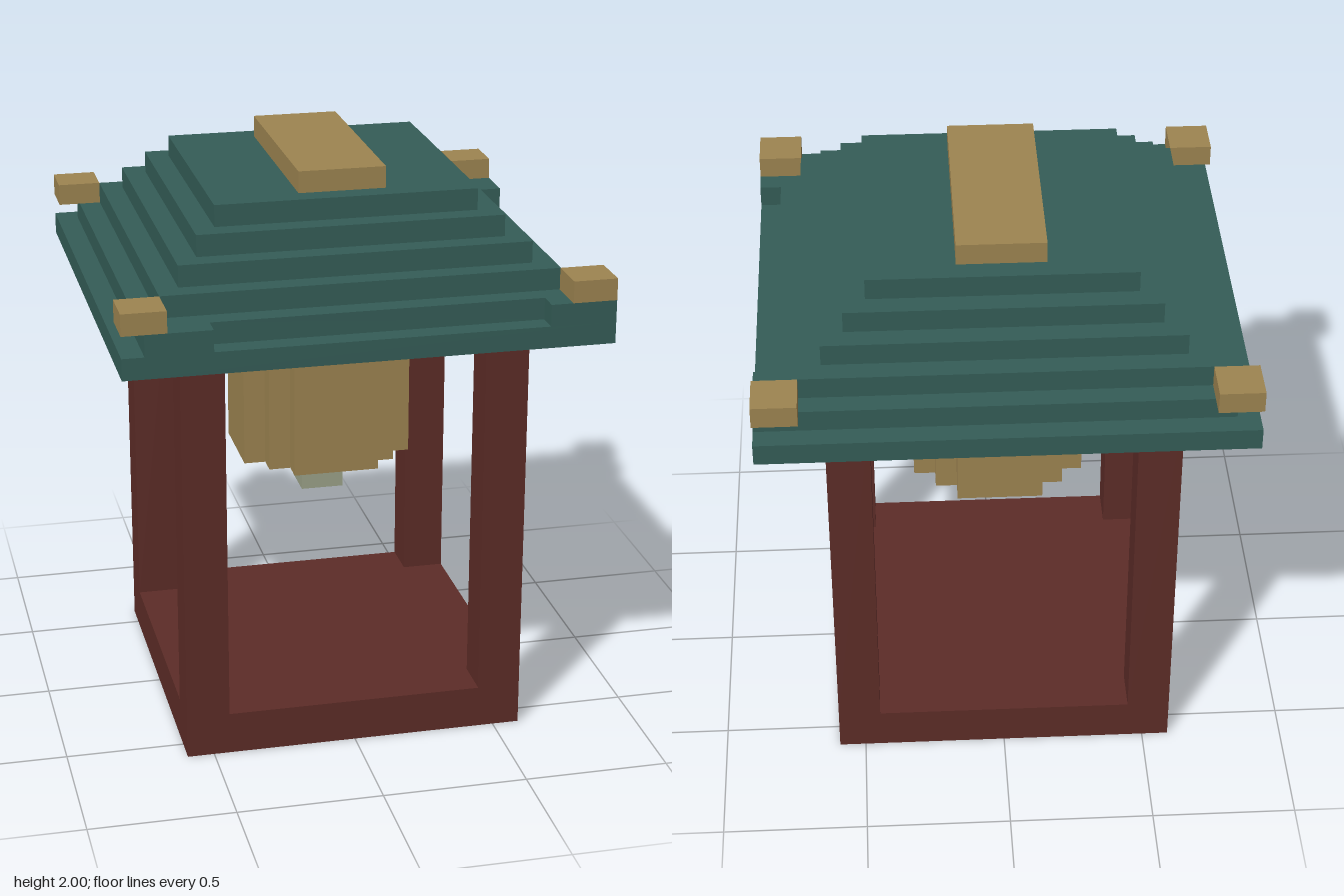
import * as THREE from 'three';

// All sizes below are in blocks; the whole shrine is 27 blocks tall.
const U = 2 / 27;

export function createModel() {
  const model = new THREE.Group();
  model.name = 'bellShrine';

  const paint = (color) => new THREE.MeshStandardMaterial({ color, flatShading: true });
  const wood = paint(0x5c2c27);
  const tile = paint(0x345c56);
  const brass = paint(0x9c8350);
  const iron = paint(0x9aa187);

  function add(name, geometry, material, parent = model) {
    const mesh = new THREE.Mesh(geometry, material);
    mesh.name = name;
    parent.add(mesh);
    return mesh;
  }

  // Box centred on (x, z), spanning y0 to y1
  function block(name, material, w, d, y0, y1, x = 0, z = 0, parent = model) {
    const geometry = new THREE.BoxGeometry(w * U, (y1 - y0) * U, d * U);
    geometry.translate(x * U, (y0 + y1) / 2 * U, z * U);
    return add(name, geometry, material, parent);
  }

  // Floor plan given as [x, z] corners, raised from y0 to y1
  function plan(name, material, corners, y0, y1, parent = model) {
    const shape = new THREE.Shape(corners.map(([x, z]) => new THREE.Vector2(x * U, -z * U)));
    const geometry = new THREE.ExtrudeGeometry(shape, { depth: (y1 - y0) * U, bevelEnabled: false });
    geometry.rotateX(-Math.PI / 2).translate(0, y0 * U, 0);
    return add(name, geometry, material, parent);
  }

  // Base and four posts
  block('base', wood, 16, 16, 0, 2);
  for (const x of [-7, 7]) for (const z of [-7, 7]) block('post', wood, 2, 2, 2, 20, x, z);

  // Stepped roof
  const roof = new THREE.Group();
  roof.name = 'roof';
  model.add(roof);
  block('eaves', tile, 22, 22, 20, 21, 0, 0, roof);
  // Rim with raised corners along the front and left edges
  plan('roofRim', tile, [
    [-10, -10], [11, -10], [11, -7], [10, -7], [10, 8], [11, 8],
    [11, 11], [8, 11], [8, 10], [-7, 10], [-7, 11], [-10, 11],
  ], 21, 22, roof);
  [18, 16, 14, 12].forEach((w, i) => block('roofStep', tile, w, w, 22 + i, 23 + i, 0, 0, roof));
  block('ridge', brass, 4, 10, 26, 27, 0, 0, roof);
  for (const x of [-10, 10]) for (const z of [-10, 10]) {
    block('cornerOrnament', brass, 2, 2, 22, 23, x, z, roof);
  }

  // Bell with a stepped round plan: one quarter turned four times
  const quarter = [[4, -2], [4, 2], [3, 2], [3, 3], [2, 3]];
  const outline = [];
  for (let i = 0; i < 4; i++) {
    for (const [a, b] of quarter) {
      outline.push([[a, b], [-b, a], [-a, -b], [b, -a]][i]);
    }
  }
  plan('bell', brass, outline, 12, 19);
  block('clapper', iron, 2, 2, 10, 12);

  return model;
}
